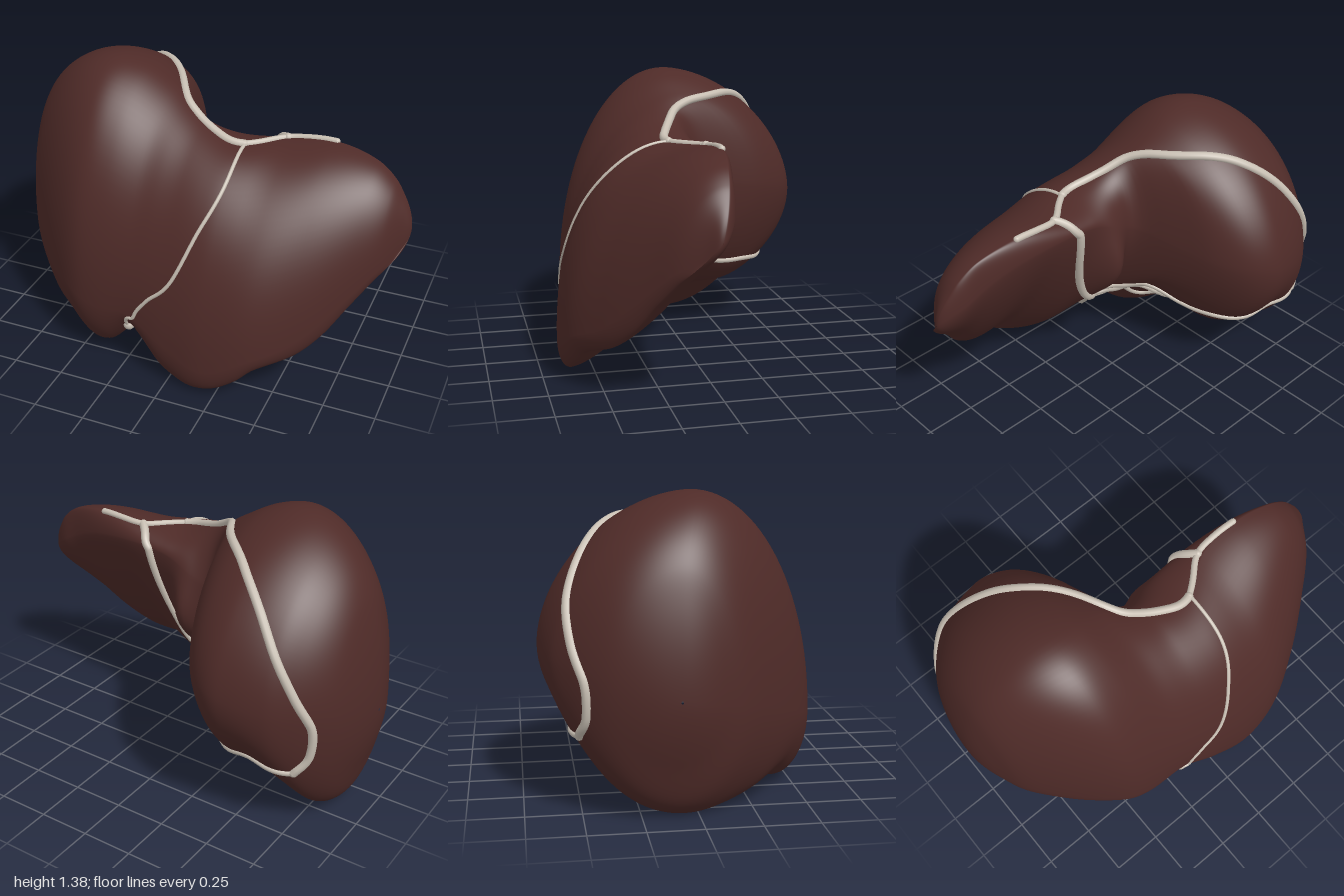
import * as THREE from 'three';

// Smooth curve over x; interpolating by angle makes both ends round off.
const toAngle = x => Math.acos(THREE.MathUtils.clamp(-x, -1, 1));
function curve(...pts) {
  const t = pts.map(p => toAngle(p[0])), v = pts.map(p => p[1]), n = pts.length - 1;
  const slope = i => {
    const a = Math.max(i - 1, 0), b = Math.min(i + 1, n);
    return (v[b] - v[a]) / (t[b] - t[a]);
  };
  return x => {
    const q = toAngle(x);
    let i = 0;
    while (i < n - 1 && q > t[i + 1]) i++;
    const h = t[i + 1] - t[i], s = (q - t[i]) / h, s2 = s * s, s3 = s2 * s;
    return (2 * s3 - 3 * s2 + 1) * v[i] + (s3 - 2 * s2 + s) * h * slope(i)
      + (3 * s2 - 2 * s3) * v[i + 1] + (s3 - s2) * h * slope(i + 1);
  };
}

// Heights and depths of the crown, front, lower edge and back of each section
const crownY = curve([-1, .55], [-.95, .95], [-.9, 1.1], [-.8, 1.24], [-.65, 1.345], [-.5, 1.38], [-.35, 1.35],
  [-.2, 1.265], [-.1, 1.195], [0, 1.14], [.15, 1.095], [.3, 1.09], [.6, 1.11], [.8, 1.07], [.9, 1], [.95, .93], [1, .78]);
const crownZ = curve([-1, -.1], [-.9, -.08], [-.5, .01], [-.2, .0], [-.1, .05], [.1, .13], [.2, .13],
  [.4, .01], [.6, -.01], [.8, .01], [1, .08]);
const frontY = curve([-1, .55], [-.9, .5], [-.7, .42], [-.4, .32], [-.2, .33], [0, .22], [.2, .15],
  [.4, .24], [.6, .33], [.8, .53], [.9, .64], [1, .78]);
const frontZ = curve([-1, -.1], [-.95, .1], [-.9, .2], [-.8, .32], [-.6, .5], [-.5, .56], [-.4, .585], [-.2, .605],
  [0, .645], [.2, .67], [.4, .635], [.6, .52], [.8, .35], [.9, .25], [.97, .14], [1, .08]);
const lowerY = curve([-1, .55], [-.95, .26], [-.9, .1], [-.85, .03], [-.79, 0], [-.7, .03], [-.58, .085], [-.44, .035],
  [-.35, .06], [-.28, .13], [-.2, .23], [-.15, .18], [-.05, .07], [.05, .03], [.15, .02], [.25, .04], [.35, .1],
  [.43, .17], [.6, .24], [.7, .33], [.8, .47], [.9, .6], [1, .78]);
const lowerZ = curve([-1, -.1], [-.9, -.1], [-.8, -.05], [-.7, .14], [-.58, .31], [-.43, .42], [-.2, .5], [0, .58],
  [.15, .62], [.4, .58], [.6, .47], [.8, .32], [.9, .23], [1, .08]);
const backY = curve([-1, .55], [-.9, .62], [-.5, .7], [-.2, .8], [-.1, .86], [.2, 1], [.6, 1], [.9, .87], [1, .78]);
const backZ = curve([-1, -.1], [-.95, -.36], [-.9, -.45], [-.8, -.56], [-.7, -.63], [-.5, -.675], [-.4, -.655],
  [-.3, -.58], [-.22, -.45], [-.17, -.29], [-.1, -.1], [0, -.06], [.2, -.08], [.4, -.08], [.6, -.06], [.8, -.02],
  [.9, 0], [1, .08]);
// Flatness of the underside and of the upper front and back: 1 is round, 2 is straight
const underFlatness = curve([-1, 1], [-.7, 1], [-.4, 1.05], [-.29, 1.14], [-.17, 1.22], [0, 1.36], [.15, 1.3],
  [.3, 1.4], [.5, 1.5], [.8, 1.4], [1, 1]);
const upperFrontFlatness = curve([-1, 1], [-.5, 1], [-.2, 1.08], [.1, 1], [1, 1]);
const upperBackFlatness = curve([-1, 1], [-.8, 1.08], [-.5, 1.12], [-.2, 1.1], [.1, 1], [1, 1]);

const bump = (a, b) => Math.exp(-a * a - b * b);

// Point on the organ: u = 0 crown, .25 front, .5 lower edge, .75 back
function surface(x, u) {
  u = ((u % 1) + 1) % 1;
  const quarter = Math.floor(u * 4), a = (u * 4 - quarter) * Math.PI / 2;
  const e = [upperFrontFlatness(x), 1, underFlatness(x), upperBackFlatness(x)][quarter];
  const c = Math.pow(Math.max(Math.cos(a), 0), e), s = Math.pow(Math.sin(a), e);
  const yt = crownY(x), zt = crownZ(x), yf = frontY(x), zf = frontZ(x);
  const yl = lowerY(x), zl = lowerZ(x), yb = backY(x), zb = backZ(x);
  let [y, z] = [
    [yf + (yt - yf) * c, zt + (zf - zt) * s],
    [yf + (yl - yf) * s, zl + (zf - zl) * c],
    [yb + (yl - yb) * c, zl + (zb - zl) * s],
    [yb + (yt - yb) * s, zt + (zb - zt) * c],
  ][quarter];
  if (u > .5) {
    // Caudate lobe swelling from the back
    z -= .13 * Math.min(1, (u - .5) * 16, (1 - u) * 16) * bump((x - .07) / .085, (y - .68) / .23);
    // Hollow under the right lobe, beside the hilum
    if (quarter === 2) y += .16 * Math.min(1, (u - .5) * 20) * bump((x + .38) / .17, z / .23);
  }
  return new THREE.Vector3(x, y, z);
}

// Lobes: rings of the surface joined along x
function bodyGeometry(stations = 180, around = 112) {
  const pos = [], index = [];
  for (let i = 0; i <= stations; i++) {
    const x = -Math.cos(Math.PI * (.002 + .996 * i / stations));
    for (let j = 0; j < around; j++) pos.push(...surface(x, j / around).toArray());
  }
  for (let i = 0; i < stations; i++) for (let j = 0; j < around; j++) {
    const a = i * around + j, b = i * around + (j + 1) % around;
    index.push(a, b, a + around, b, b + around, a + around);
  }
  const g = new THREE.BufferGeometry();
  g.setAttribute('position', new THREE.Float32BufferAttribute(pos, 3));
  g.setIndex(index);
  g.computeVertexNormals();
  return g;
}

export function createModel() {
  const group = new THREE.Group();
  const flesh = new THREE.MeshStandardMaterial({ color: 0x4f2b28 });
  const fibre = new THREE.MeshStandardMaterial({ color: 0xc8bfb3 });
  const add = (name, geometry, material) => {
    const mesh = new THREE.Mesh(geometry, material);
    mesh.name = name;
    group.add(mesh);
    return mesh;
  };

  add('lobes', bodyGeometry(), flesh);

  // Cords running over the surface, given as [x, u]
  const cord = (name, radius, path, closed = false) => {
    const guide = new THREE.CatmullRomCurve3(path.map(p => new THREE.Vector3(p[0], p[1], 0)), closed);
    const pts = guide.getPoints(path.length * 5).map(p => surface(p.x, p.y));
    if (closed) pts.pop();
    add(name, new THREE.TubeGeometry(new THREE.CatmullRomCurve3(pts, closed), 120, radius, 10, closed), fibre);
    if (!closed) for (const p of [pts[0], pts[pts.length - 1]]) {
      add(name + 'End', new THREE.SphereGeometry(radius, 10, 8), fibre).position.copy(p);
    }
  };
  cord('frontLigament', .009, [[.205, 0], [.2, .073], [.12, .133], [.03, .183], [-.1, .22], [-.17, .25],
    [-.21, .3], [-.215, .4]]);
  cord('rightUpperLigament', .021, [[.2, 1], [.08, 1], [-.1, .99], [-.25, .937], [-.45, .895], [-.65, .847],
    [-.8, .79], [-.87, .74], [-.86, .705], [-.8, .68]]);
  cord('lowerRightLigament', .014, [[-.8, .68], [-.65, .67], [-.45, .661], [-.34, .648], [-.27, .62], [-.17, .62],
    [.02, .635]]);
  cord('leftUpperLigament', .016, [[.2, 1], [.28, .985], [.37, .955], [.48, .965], [.6, .97]]);
  cord('backLigament', .021, [[.37, .955], [.33, .87], [.29, .76], [.25, .7], [.17, .66], [.02, .635]]);
  cord('roundLigament', .019, [[.02, .635], [-.04, .595], [-.12, .55], [-.19, .49], [-.215, .4]]);
  cord('hilumLoop', .016, [[.02, .628], [-.12, .605], [-.26, .597], [-.39, .572], [-.34, .558], [-.18, .578]], true);

  // Rounded end of the round ligament in the lower notch
  const knob = add('ligamentKnob', new THREE.SphereGeometry(.028, 16, 12), fibre);
  knob.position.copy(surface(-.215, .4));
  return group;
}
